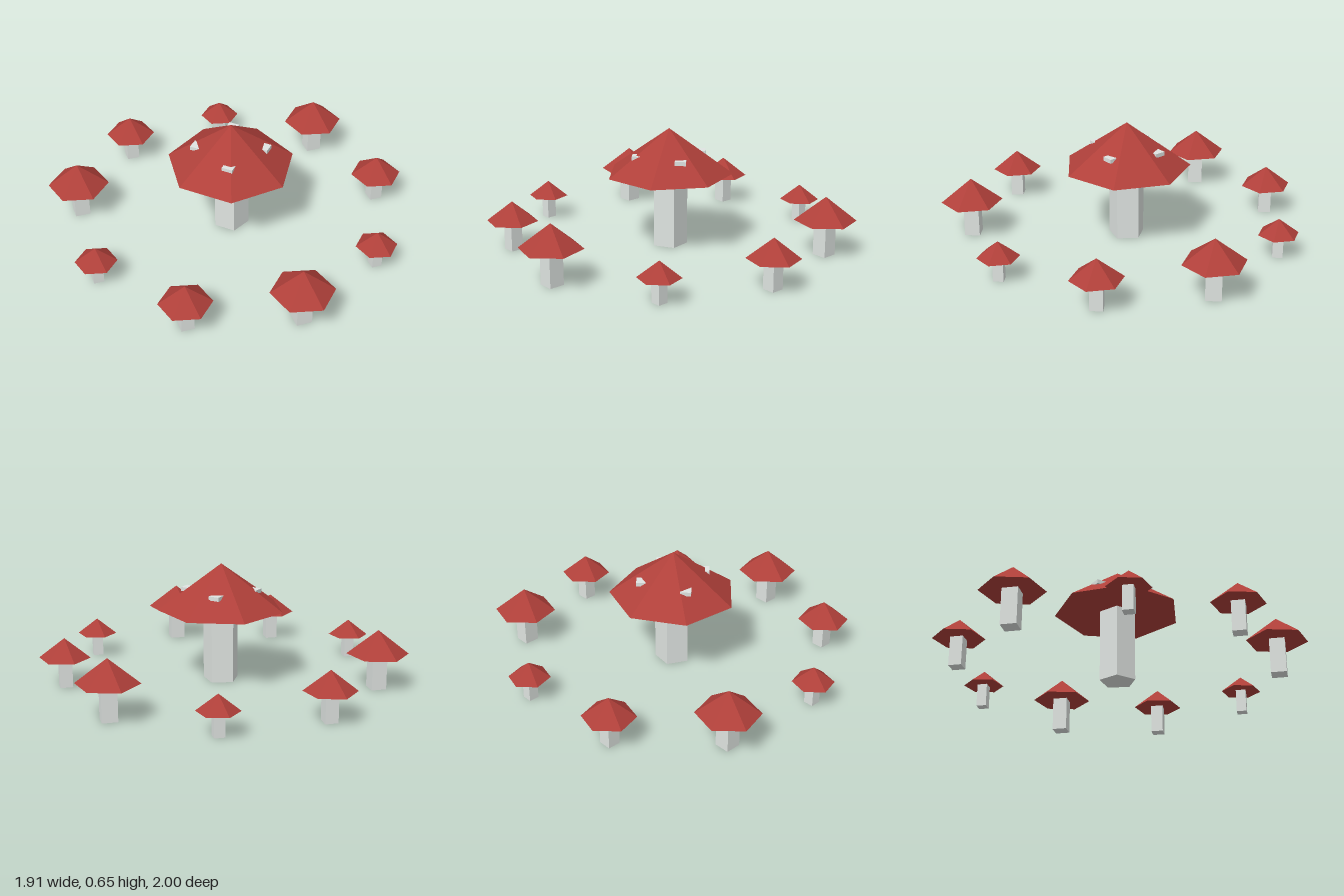
import * as THREE from 'three';

const red = new THREE.MeshStandardMaterial({ color: 0xb0403a });
red.name = 'cap red';
const pale = new THREE.MeshStandardMaterial({ color: 0xdfe4e1 });
pale.name = 'stem pale grey';
red.flatShading = pale.flatShading = true;

const CENTRE_Z = 0.014;

function addMesh(parent, name, geometry, material, x, y, z) {
  const mesh = new THREE.Mesh(geometry, material);
  mesh.name = name;
  mesh.position.set(x, y, z);
  parent.add(mesh);
  return mesh;
}

// A prism stem standing on the ground with a faceted cone cap on top
function mushroom(name, stem, cap) {
  const group = new THREE.Group();
  group.name = name;
  addMesh(group, 'stem', new THREE.CylinderGeometry(stem.r, stem.r, stem.h, stem.sides), pale, 0, stem.h / 2, 0);
  addMesh(group, 'cap', new THREE.ConeGeometry(cap.r, cap.h, cap.sides), red, 0, stem.h + cap.h / 2, 0);
  return group;
}

export function createModel() {
  const model = new THREE.Group();
  model.name = 'mushroomRing';

  // Large central mushroom, with a corner of cap and stem pointing back
  const main = mushroom('centralMushroom', { r: 0.1, h: 0.405, sides: 5 }, { r: 0.35, h: 0.25, sides: 7 });
  main.children.forEach((part) => { part.rotation.y = Math.PI; });
  main.position.z = CENTRE_Z;
  model.add(main);

  // Four square spots sunk into the central cap
  const spotShape = new THREE.BoxGeometry(0.06, 0.022, 0.06);
  for (let i = 0; i < 4; i++) {
    const a = 1.172 + (i * Math.PI) / 2;
    addMesh(main, 'capSpot', spotShape, pale, 0.18 * Math.cos(a), 0.508, 0.18 * Math.sin(a));
  }

  // Ring of nine small mushrooms, cycling through three sizes
  const sizes = [0.112, 0.168, 0.14];
  for (let i = 0; i < 9; i++) {
    const r = sizes[i % 3];
    const a = (i * Math.PI * 2) / 9;
    const small = mushroom('ringMushroom', { r: r * 0.35, h: r * 1.16, sides: 4 }, { r, h: r * 0.78, sides: 6 });
    small.position.set(0.859 * Math.cos(a), 0, CENTRE_Z + 0.859 * Math.sin(a));
    model.add(small);
  }
  return model;
}
